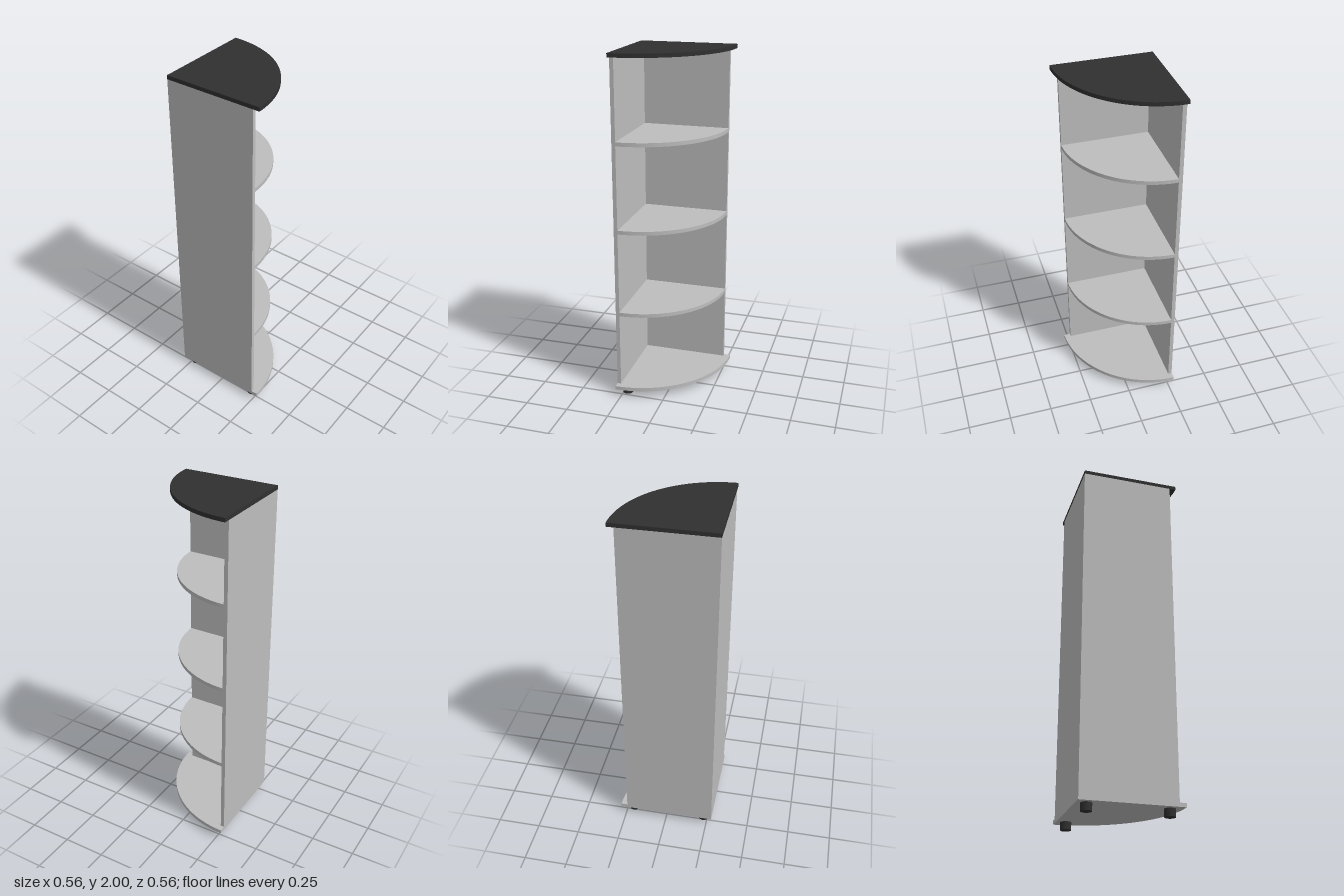
import * as THREE from 'three';
import { toCreasedNormals } from 'three/addons/utils/BufferGeometryUtils.js';

const CORNER = -0.281; // outer back corner in x and z
const T = 0.022;       // board thickness
const FOOT_H = 0.043;
const TOP = 2;

export function createModel() {
  const model = new THREE.Group();
  model.name = 'cornerShelf';

  const grey = new THREE.MeshStandardMaterial({ name: 'grey board', color: 0xbebebe });
  const black = new THREE.MeshStandardMaterial({ name: 'black board', color: 0x303030 });

  function add(name, geometry, material, x, y, z) {
    const mesh = new THREE.Mesh(geometry, material);
    mesh.name = name;
    mesh.position.set(x, y, z);
    model.add(mesh);
  }

  // Quarter-round board with its square corner at (corner, corner)
  function quarterBoard(name, radius, corner, bottom, material) {
    const shape = new THREE.Shape();
    shape.moveTo(0, 0);
    shape.lineTo(radius, 0);
    shape.absarc(0, 0, radius, 0, Math.PI / 2, false);
    shape.lineTo(0, 0);
    const board = new THREE.ExtrudeGeometry(shape, { depth: T, bevelEnabled: false, curveSegments: 24 });
    board.rotateX(Math.PI / 2);
    add(name, toCreasedNormals(board, 0.5), material, corner, bottom + T, corner);
  }

  // Base and top overhang the panels at the front
  quarterBoard('base', 0.562, CORNER, FOOT_H, grey);
  quarterBoard('top', 0.562, CORNER, TOP - T, black);

  // Shelves sit inside the two panels
  [0.505, 1.005, 1.505].forEach((y, i) =>
    quarterBoard(`shelf${i + 1}`, 0.503, CORNER + T, y, grey));

  // Side panel and back panel meeting at the corner
  const low = FOOT_H + T;
  const height = TOP - T - low;
  const reach = 0.525;
  add('sidePanel', new THREE.BoxGeometry(T, height, reach), grey,
    CORNER + T / 2, low + height / 2, CORNER + reach / 2);
  add('backPanel', new THREE.BoxGeometry(reach - T, height, T), grey,
    CORNER + (reach + T) / 2, low + height / 2, CORNER + T / 2);

  // Round feet, one near each corner of the base
  const foot = new THREE.CylinderGeometry(0.03, 0.03, FOOT_H, 24);
  [[-0.227, -0.227], [0.21, -0.227], [-0.227, 0.21]].forEach(([x, z], i) =>
    add(`foot${i + 1}`, foot, black, x, FOOT_H / 2, z));

  return model;
}
